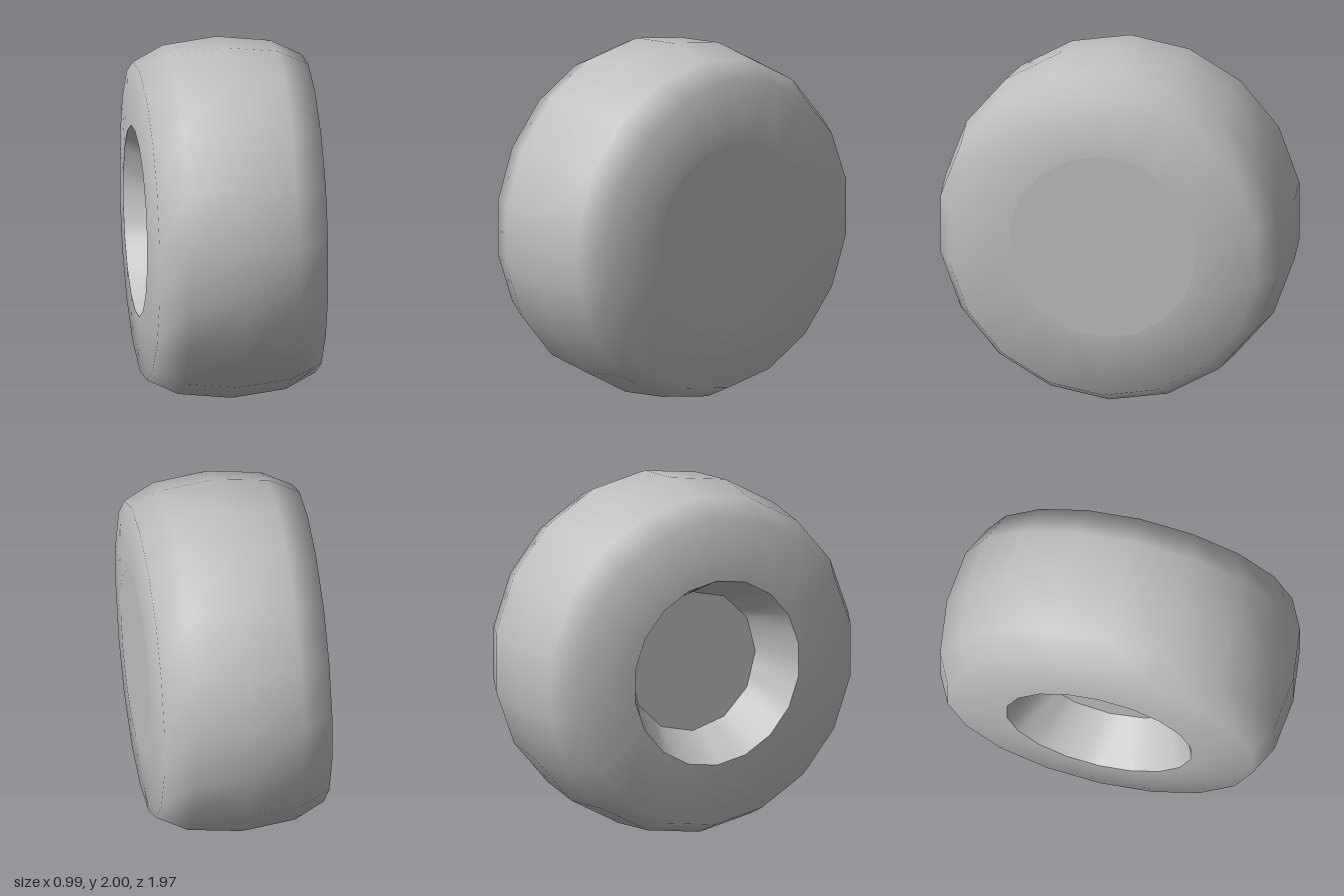
import * as THREE from 'three';

const SIDES = 18, HUB_SIDES = 12;
const HALF_WIDTH = 0.495, RIM = 0.53;
const FLOOR_X = -0.228, FLOOR_R = 0.4;

// Distance from centre to the edge of a regular polygon with a corner at angle 0
function polygonRadius(radius, sides, angle) {
  const step = (2 * Math.PI) / sides;
  return radius * Math.cos(step / 2) / Math.cos((angle % step) - step / 2);
}

// Tapered recess wall, joining the rim polygon to the hub floor polygon
function recessWall() {
  const steps = 36, pos = [], index = [];
  for (let i = 0; i < steps; i++) {
    const t = (i / steps) * 2 * Math.PI + 1e-7;
    const a = polygonRadius(RIM, SIDES, t), b = polygonRadius(FLOOR_R, HUB_SIDES, t);
    pos.push(-HALF_WIDTH, a * Math.cos(t), a * Math.sin(t));
    pos.push(FLOOR_X, b * Math.cos(t), b * Math.sin(t));
    const p = 2 * i, q = 2 * ((i + 1) % steps);
    index.push(p, p + 1, q, q, p + 1, q + 1);
  }
  const g = new THREE.BufferGeometry();
  g.setAttribute('position', new THREE.Float32BufferAttribute(pos, 3));
  g.setIndex(index);
  g.computeVertexNormals();
  return g;
}

export function createModel() {
  const wheel = new THREE.Group();
  wheel.name = 'wheel';
  const grey = new THREE.MeshStandardMaterial({ color: 0xc0c0c0 });
  grey.name = 'light grey';

  const add = (name, geometry) => {
    const mesh = new THREE.Mesh(geometry, grey);
    mesh.name = name;
    mesh.position.y = 1;
    wheel.add(mesh);
  };

  // Crowned tread and sidewalls, turned about the x axis
  const profile = [
    [RIM, -HALF_WIDTH], [0.88, -0.47], [0.965, -0.3], [1, 0],
    [0.965, 0.3], [0.88, 0.47], [RIM, HALF_WIDTH],
  ].map(([r, x]) => new THREE.Vector2(r, x));
  add('tyre', new THREE.LatheGeometry(profile, SIDES, Math.PI / 2).rotateZ(-Math.PI / 2));

  // Closed flat side
  add('sideCap', new THREE.CircleGeometry(RIM, SIDES, Math.PI / 2).rotateY(Math.PI / 2).translate(HALF_WIDTH, 0, 0));

  // Hub recess on the other side
  add('recessWall', recessWall());
  add('recessFloor', new THREE.CircleGeometry(FLOOR_R, HUB_SIDES, Math.PI / 2).rotateY(-Math.PI / 2).translate(FLOOR_X, 0, 0));

  return wheel;
}
